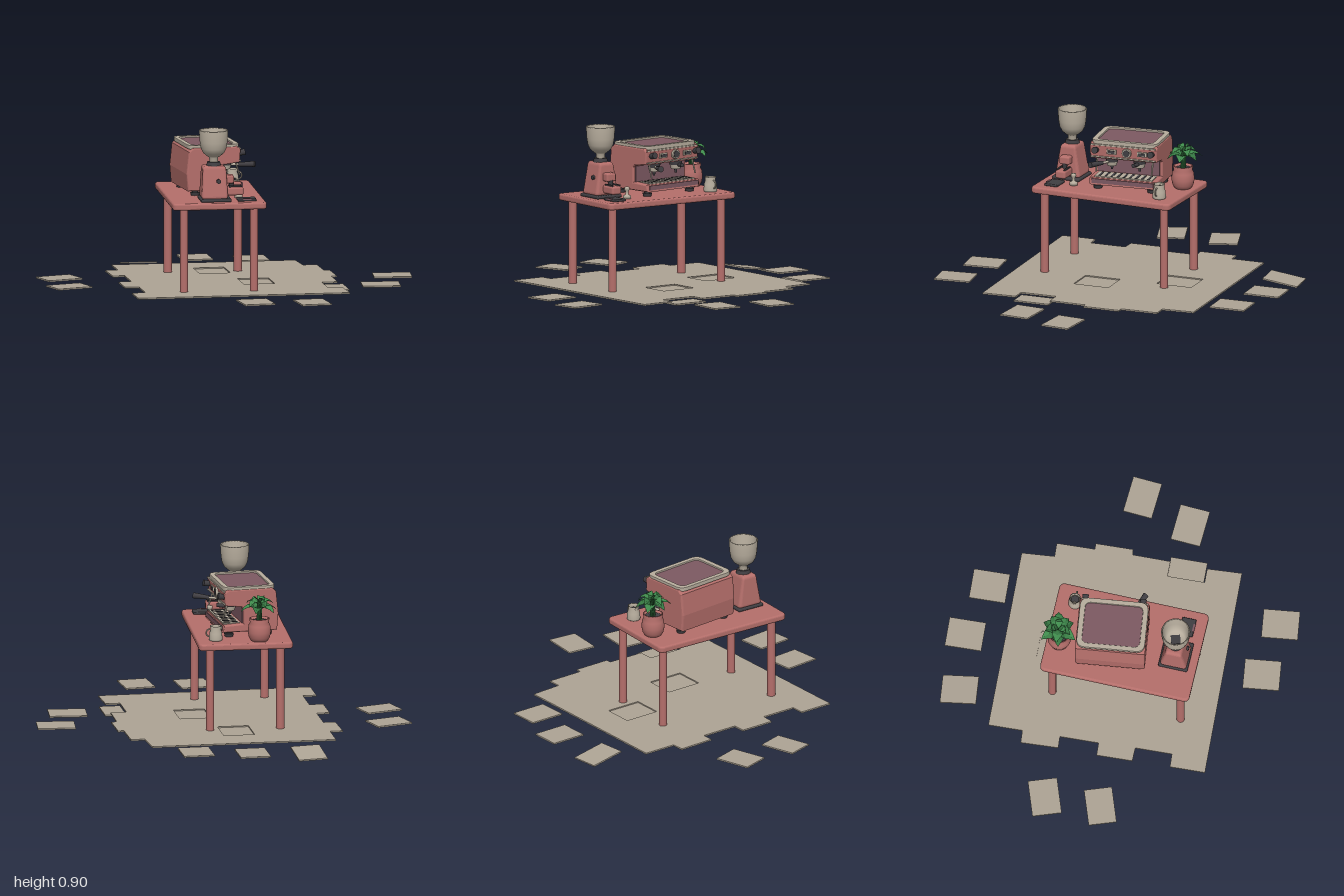
import * as THREE from 'three';
import { RoundedBoxGeometry } from 'three/addons/geometries/RoundedBoxGeometry.js';

const paint = (name, color, side = THREE.FrontSide) => {
  const m = new THREE.MeshStandardMaterial({ color, side });
  m.name = name;
  return m;
};
const red = paint('dusty red', 0xb56f6b);
const cream = paint('warm cream', 0xb8ae9e, THREE.DoubleSide);
const stone = paint('floor stone', 0xaea495);
const plum = paint('plum', 0x7d5962);
const dark = paint('charcoal', 0x403e42);
const green = paint('leaf green', 0x3f8a4c, THREE.DoubleSide);
const deepGreen = paint('deep leaf green', 0x347440, THREE.DoubleSide);

function add(parent, name, geo, mat, p = [0, 0, 0], r = [0, 0, 0]) {
  const m = new THREE.Mesh(geo, mat);
  m.name = name;
  m.position.set(...p);
  m.rotation.set(...r);
  parent.add(m);
  return m;
}
function group(parent, name, p, ry = 0) {
  const g = new THREE.Group();
  g.name = name;
  g.position.set(...p);
  g.rotation.y = ry;
  parent.add(g);
  return g;
}
const pts = (a) => a.map(([x, y]) => new THREE.Vector2(x, y));
const box = (w, h, d) => new THREE.BoxGeometry(w, h, d);
const round = (w, h, d, r) => new RoundedBoxGeometry(w, h, d, 3, r);
const cyl = (a, b, h, n = 20) => new THREE.CylinderGeometry(a, b, h, n);
const lathe = (a, n = 28) => new THREE.LatheGeometry(pts(a), n);

// Cylinder running between two points
function rod(parent, name, a, b, r1, r2, mat) {
  const A = new THREE.Vector3(...a), B = new THREE.Vector3(...b);
  const m = add(parent, name, cyl(r2, r1, A.distanceTo(B), 12), mat);
  m.position.copy(A).add(B).multiplyScalar(0.5);
  m.quaternion.setFromUnitVectors(new THREE.Vector3(0, 1, 0), B.sub(A).normalize());
}
// Rounded rectangle outline centred on the origin
function roundRect(w, h, r, Type = THREE.Shape) {
  const s = new Type(), x = w / 2, y = h / 2;
  s.moveTo(-x + r, -y).lineTo(x - r, -y).quadraticCurveTo(x, -y, x, -y + r)
    .lineTo(x, y - r).quadraticCurveTo(x, y, x - r, y)
    .lineTo(-x + r, y).quadraticCurveTo(-x, y, -x, y - r)
    .lineTo(-x, -y + r).quadraticCurveTo(-x, -y, -x + r, -y);
  return s;
}

function buildFloor(root) {
  const floor = group(root, 'floor', [0, 0, 0]);
  // Stepped paving outline in x, z
  const shape = new THREE.Shape(pts([
    [-.545, -.59], [.445, -.635], [.465, -.46], [.54, -.465], [.553, -.26], [.585, -.262], [.597, -.06],
    [.567, -.055], [.575, .148], [.49, .152], [.50, .352], [.578, .348], [.595, .535], [-.55, .595],
    [-.56, .406], [-.487, .40], [-.497, .203], [-.572, .203], [-.583, .01], [-.513, .005],
    [-.524, -.203], [-.588, -.198], [-.604, -.40], [-.535, -.406]]));
  const sunk = [[-.04, -.33], [.148, .07]];
  for (const [x, z] of sunk) {
    shape.holes.push(new THREE.Path(pts([[x - .088, z - .095], [x - .078, z + .103], [x + .088, z + .095], [x + .078, z - .103]])));
  }
  const slab = new THREE.ExtrudeGeometry(shape, { depth: .008, bevelEnabled: false });
  add(floor, 'paving', slab, stone, [0, .04, 0], [Math.PI / 2, 0, 0]);
  for (const [x, z] of sunk) add(floor, 'sunkenTile', box(.172, .008, .204), stone, [x, .03, z], [0, .05, 0]);
  // Scattered tiles: x, y, z, width, depth, turn, tilt
  for (const [x, y, z, w, d, ry, rx] of [
    [-.377, .0185, -.786, .157, .195, .12, -.15], [-.07, .035, -.824, .162, .197, .06, 0],
    [.225, .034, -.76, .165, .195, .06, 0], [-.874, .032, -.206, .2, .157, .35, 0],
    [-.858, .032, .094, .2, .15, .35, 0], [.896, .034, -.078, .203, .158, -.05, 0],
    [.8, .03, .205, .203, .162, -.04, 0], [.06, .033, .767, .166, .195, .14, 0],
    [.36, .032, .8, .16, .195, .14, 0], [.553, .024, .246, .113, .198, .05, 0]]) {
    add(floor, 'looseTile', box(w, .008, d), stone, [x, y, z], [rx, ry, 0]);
  }
}

function buildTable(root) {
  const table = group(root, 'table', [-.0925, 0, .05]);
  const top = new THREE.ExtrudeGeometry(roundRect(.485, .795, .02),
    { depth: .016, bevelThickness: .01, bevelSize: .01, bevelSegments: 3 });
  add(table, 'tableTop', top, red, [0, .511, 0], [Math.PI / 2, 0, 0]);
  for (const x of [-.188, .188]) for (const z of [-.35, .35])
    add(table, 'tableLeg', cyl(.022, .022, .46, 16), red, [x, .26, z]);
}

function buildMachine(root) {
  const m = group(root, 'espressoMachine', [-.105, .52, -.012], .13);
  // C-shaped side profile: back, head and tray
  const side = new THREE.Shape(pts([
    [-.145, .035], [-.152, .12], [-.14, .235], [-.12, .253], [.115, .253], [.13, .24], [.125, .18],
    [.04, .17], [.025, .155], [.025, .065], [.135, .06], [.14, .035]]));
  const body = new THREE.ExtrudeGeometry(side, { depth: .35, bevelThickness: .012, bevelSize: .008, bevelSegments: 3 });
  add(m, 'machineBody', body, red, [0, 0, -.175]);
  // Top tray with cream rim
  const rim = roundRect(.275, .36, .045);
  rim.holes.push(roundRect(.235, .315, .035, THREE.Path));
  add(m, 'topRim', new THREE.ExtrudeGeometry(rim, { depth: .016, bevelThickness: .003, bevelSize: .003, bevelSegments: 2 }),
    cream, [-.005, .27, 0], [Math.PI / 2, 0, 0]);
  add(m, 'topPanel', new THREE.ShapeGeometry(roundRect(.24, .32, .035)), plum, [-.005, .264, 0], [-Math.PI / 2, 0, 0]);
  // Recessed work area and drip tray
  add(m, 'backSplash', box(.008, .1, .345), plum, [.034, .117, 0]);
  add(m, 'trayFront', box(.006, .024, .345), plum, [.149, .05, 0]);
  add(m, 'dripGrate', box(.09, .006, .32), cream, [.092, .071, 0]);
  for (let i = -4; i <= 4; i++) add(m, 'grateSlot', box(.075, .003, .012), dark, [.092, .0745, i * .034]);
  // Control panel
  for (const y of [.248, .182]) add(m, 'panelTrim', box(.008, .007, .36), cream, [.136, y, 0]);
  rod(m, 'gaugeRim', [.13, .215, -.02], [.148, .215, -.02], .027, .025, cream);
  rod(m, 'gaugeFace', [.147, .215, -.02], [.150, .215, -.02], .019, .019, dark);
  for (const z of [.065, -.105]) {
    add(m, 'buttonFrame', box(.01, .026, .054), cream, [.138, .215, z]);
    add(m, 'buttonPlate', box(.004, .015, .04), dark, [.145, .215, z]);
  }
  for (const z of [.15, -.16]) {
    rod(m, 'steamKnob', [.13, .218, z], [.168, .225, z], .014, .018, dark);
    rod(m, 'steamWand', [.115, .18, z], [.14, .1, z], .005, .004, cream);
  }
  // Brew heads, one holding a filter handle
  for (const z of [.08, -.075]) {
    add(m, 'brewHead', cyl(.036, .032, .03), dark, [.08, .163, z]);
    add(m, 'filterCup', cyl(.031, .026, .024), cream, [.08, .138, z]);
    add(m, 'filterSpout', cyl(.009, .006, .025, 10), dark, [.08, .116, z]);
  }
  rod(m, 'filterNeck', [.1, .15, .09], [.152, .152, .118], .007, .007, cream);
  rod(m, 'filterHandle', [.145, .152, .114], [.222, .158, .158], .011, .016, dark);
  rod(m, 'secondHandle', [.1, .148, -.075], [.15, .152, -.06], .009, .011, dark);
  // Feet
  for (const x of [-.105, .105]) for (const z of [-.15, .15]) {
    add(m, 'foot', cyl(.026, .022, .018, 14), dark, [x, .009, z]);
    add(m, 'footStem', cyl(.017, .017, .022, 12), dark, [x, .024, z]);
  }
}

function buildGrinder(root) {
  const g = group(root, 'coffeeGrinder', [-.113, .52, .335]);
  add(g, 'grinderBase', round(.165, .018, .16, .008), dark, [.006, .009, 0]);
  // Body narrows upward
  const body = round(.142, .178, .148, .018), p = body.attributes.position;
  for (let i = 0; i < p.count; i++) {
    const t = p.getY(i) / .178 + .5;
    p.setX(i, p.getX(i) * (1 - .12 * t));
    p.setZ(i, p.getZ(i) * (1 - .42 * t));
  }
  body.computeVertexNormals();
  add(g, 'grinderBody', body, red, [0, .101, 0]);
  add(g, 'collar', cyl(.034, .04, .022), dark, [0, .198, 0]);
  add(g, 'hopper', lathe([[.022, .2], [.024, .232], [.034, .238], [.055, .255], [.068, .28], [.074, .315],
    [.078, .376], [.074, .38], [.07, .376], [.067, .315], [.06, .282], [.048, .262], [0, .25]]), cream);
  add(g, 'hopperWell', box(.05, .012, .05), dark, [0, .257, 0], [0, .3, 0]);
  // Dosing chute and resting fork
  add(g, 'chute', round(.05, .045, .06, .01), red, [.082, .115, 0]);
  add(g, 'chuteTip', cyl(.015, .011, .03, 12), dark, [.095, .085, 0]);
  add(g, 'restBlock', round(.1, .045, .06, .012), red, [.108, .05, 0]);
  for (const z of [-.022, .022]) add(g, 'restFork', box(.07, .007, .009), dark, [.115, .076, z]);
  add(g, 'switch', cyl(.012, .012, .012, 12), dark, [.02, .11, .062], [Math.PI / 2, 0, 0]);
}

function buildSmallThings(root) {
  const t = group(root, 'barTools', [0, .52, 0]);
  // Tamper and its mat
  add(t, 'tamper', lathe([[0, 0], [.022, 0], [.022, .016], [.009, .022], [.008, .04], [.015, .05], [.014, .062], [0, .066]], 18),
    cream, [.03, 0, .262]);
  add(t, 'mat', round(.1, .014, .076, .005), dark, [.06, .007, .36]);
  add(t, 'matNotch', box(.045, .008, .012), plum, [.06, .012, .394]);
  // Milk pitcher
  const j = group(t, 'milkPitcher', [.06, 0, -.255]);
  add(j, 'pitcherBody', lathe([[0, 0], [.034, 0], [.036, .008], [.034, .04], [.027, .062], [.03, .08], [.026, .078], [.024, .062], [.03, .04], [0, .02]], 20), cream);
  add(j, 'pitcherHandle', new THREE.TorusGeometry(.021, .004, 8, 14, Math.PI), cream, [.03, .042, 0], [0, 0, -Math.PI / 2]);
  add(j, 'pitcherLip', new THREE.ConeGeometry(.011, .024, 8), cream, [-.029, .074, 0], [0, 0, .5]);
  add(j, 'pitcherMilk', cyl(.022, .022, .003), dark, [0, .06, 0]);
}

// Pointed leaf from paired cross-sections, folded along its midrib and drooping
function leaf(len, wide, lift) {
  const v = [], idx = [];
  [0, .25, .5, .78, 1].forEach((t, i) => {
    const w = wide * [.08, .85, 1, .5, 0][i], y = lift * Math.sin(t * 2.4) - .02 * t * t;
    v.push(t * len, y + w * .3, -w, t * len, y, 0, t * len, y + w * .3, w);
    if (i) for (const k of [0, 1]) {
      const a = (i - 1) * 3 + k;
      idx.push(a, a + 1, a + 3, a + 1, a + 4, a + 3);
    }
  });
  const geo = new THREE.BufferGeometry();
  geo.setAttribute('position', new THREE.Float32BufferAttribute(v, 3));
  geo.setIndex(idx);
  const flat = geo.toNonIndexed();
  flat.computeVertexNormals();
  return flat;
}

function buildPlant(root) {
  const p = group(root, 'pottedPlant', [-.17, .52, -.288]);
  add(p, 'pot', lathe([[0, 0], [.044, 0], [.056, .02], [.062, .05], [.058, .085], [.05, .1], [.054, .122], [.047, .124], [.043, .105], [0, .1]]), red);
  add(p, 'soil', cyl(.044, .044, .004), dark, [0, .108, 0]);
  // Three rings of leaves
  for (const [n, y, len, wide, lift, off] of [[6, .17, .105, .034, .025, .2], [5, .195, .08, .03, .03, .7], [3, .205, .05, .02, .04, .1]])
    for (let i = 0; i < n; i++) {
      const a = off + i * Math.PI * 2 / n;
      add(p, 'leaf', leaf(len * (1 - .12 * (i % 2)), wide, lift), i % 2 ? deepGreen : green, [0, y, -.005], [0, a, 0]);
      rod(p, 'stem', [.012 * Math.cos(a), .105, -.012 * Math.sin(a)], [.01 * Math.cos(a), y + .004, -.005 - .01 * Math.sin(a)], .003, .003, deepGreen);
    }
}

export function createModel() {
  const root = new THREE.Group();
  root.name = 'coffeeStand';
  for (const build of [buildFloor, buildTable, buildMachine, buildGrinder, buildSmallThings, buildPlant]) build(root);
  return root;
}
